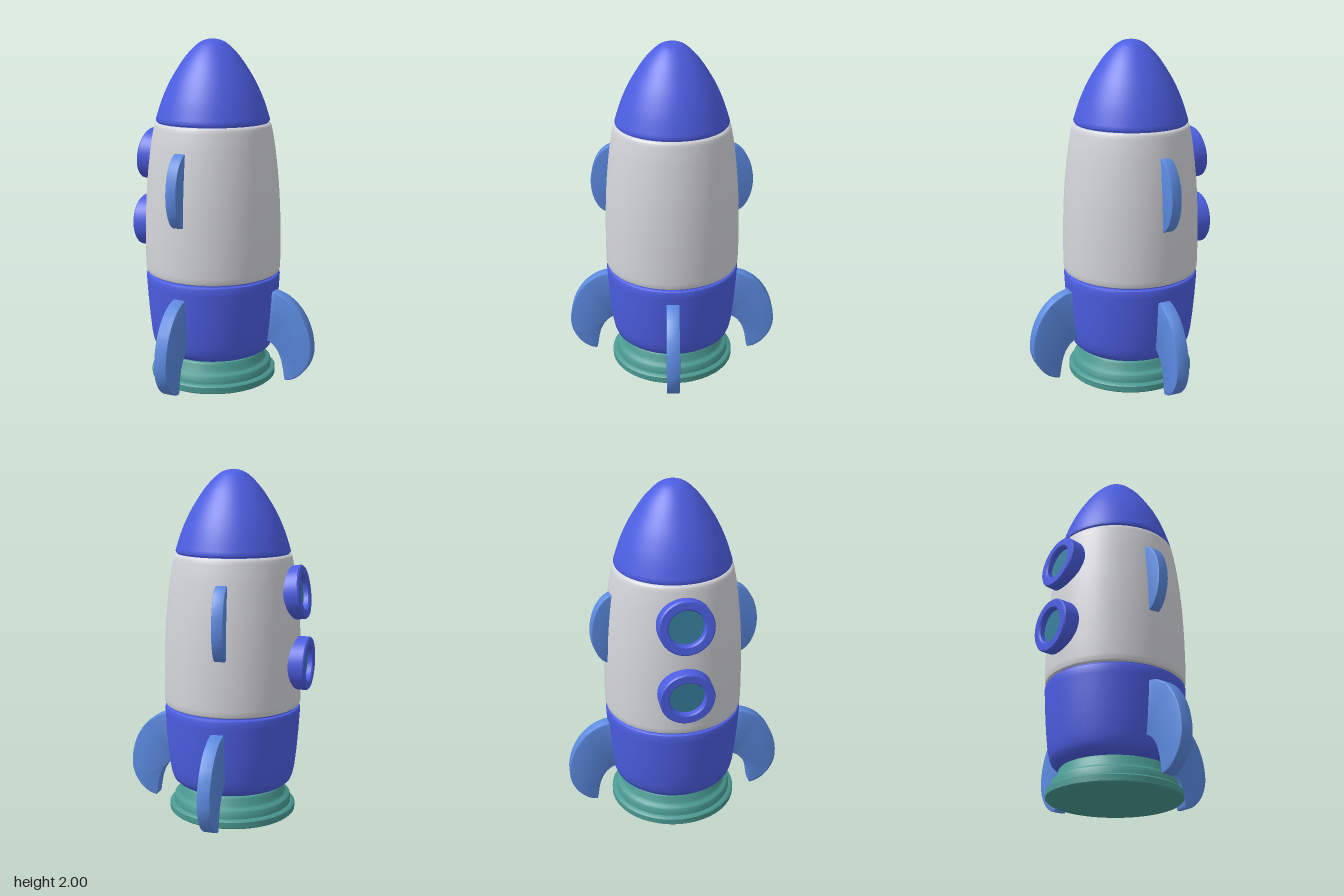
import * as THREE from 'three';
import { toCreasedNormals } from 'three/addons/utils/BufferGeometryUtils.js';

const AXIS_X = -0.09; // the rocket's axis; only one side fin widens it on +x

const material = (name, color) => {
  const m = new THREE.MeshStandardMaterial({ color });
  m.name = name;
  return m;
};

export function createModel() {
  const blue = material('royal blue', 0x4c5ee2);
  const white = material('hull white', 0xd4d5da);
  const finBlue = material('fin blue', 0x5b8ae0);
  const teal = material('nozzle teal', 0x4a9a92);
  const glass = material('window glass', 0x367f9c);

  const model = new THREE.Group();
  model.name = 'rocket';

  const vec = (pts) => pts.map(([x, y]) => new THREE.Vector2(x, y));
  const add = (name, geometry, mat, parent = model) => {
    const mesh = new THREE.Mesh(geometry, mat);
    mesh.name = name;
    parent.add(mesh);
    return mesh;
  };
  const lathe = (pts, segments = 64) =>
    toCreasedNormals(new THREE.LatheGeometry(pts, segments), 0.7);
  const turned = (name, pts, mat) => {
    add(name, lathe(pts), mat).position.x = AXIS_X;
  };

  // Stepped nozzle base
  turned('nozzleBase', vec([
    [0, 0.005], [0.33, 0.01], [0.362, 0.015], [0.37, 0.022], [0.37, 0.055], [0.362, 0.063],
    [0.345, 0.066], [0.342, 0.105], [0.335, 0.113], [0.32, 0.117], [0.308, 0.13],
    [0.305, 0.168], [0.297, 0.178], [0.26, 0.18], [0, 0.18],
  ]), teal);

  // Lower hull, with a narrow neck below and a groove above
  turned('lowerHull', vec([
    [0, 0.17], [0.265, 0.17], [0.268, 0.185], [0.30, 0.188], [0.325, 0.197], [0.345, 0.215],
    [0.357, 0.245], [0.366, 0.29], [0.377, 0.39], [0.386, 0.5], [0.392, 0.6], [0.394, 0.635],
    [0.39, 0.648], [0.38, 0.654], [0.376, 0.655], [0.376, 0.675], [0, 0.675],
  ]), blue);

  // Main hull
  const hullSide = new THREE.SplineCurve(vec([
    [0.395, 0.685], [0.396, 0.8], [0.392, 1.0], [0.38, 1.2], [0.357, 1.4], [0.336, 1.515],
  ])).getPoints(20);
  turned('mainHull', [
    ...vec([[0, 0.662], [0.38, 0.662], [0.39, 0.668]]),
    ...hullSide,
    ...vec([[0.331, 1.525], [0.32, 1.531], [0, 1.531]]),
  ], white);

  // Nose cone with a small rolled lip
  const noseSide = new THREE.SplineCurve(vec([
    [0.327, 1.548], [0.294, 1.65], [0.255, 1.74], [0.216, 1.81],
    [0.155, 1.9], [0.09, 1.967], [0.045, 1.992], [0, 2.0],
  ])).getPoints(28);
  noseSide[noseSide.length - 1].x = 0;
  turned('noseCone', [
    ...vec([[0, 1.52], [0.318, 1.52], [0.318, 1.535], [0.325, 1.54]]),
    ...noseSide,
  ], blue);

  // Fins: outline in (radius, height), extruded across and centred
  const finGeometry = (outline, thickness) => {
    const bevel = 0.006;
    const geometry = new THREE.ExtrudeGeometry(outline, {
      depth: thickness - bevel * 2, bevelThickness: bevel, bevelSize: bevel,
      bevelOffset: -bevel, bevelSegments: 2, curveSegments: 14,
    });
    geometry.translate(0, 0, bevel - thickness / 2);
    return toCreasedNormals(geometry, 0.6);
  };

  const largeOutline = new THREE.Shape();
  largeOutline.moveTo(0.33, 0.57);
  largeOutline.lineTo(0.39, 0.57);
  largeOutline.bezierCurveTo(0.53, 0.55, 0.63, 0.40, 0.63, 0.24);
  largeOutline.bezierCurveTo(0.63, 0.15, 0.56, 0.05, 0.475, 0.043);
  largeOutline.bezierCurveTo(0.455, 0.05, 0.475, 0.22, 0.365, 0.27);
  largeOutline.lineTo(0.33, 0.28);
  const largeFin = finGeometry(largeOutline, 0.075);

  const smallOutline = new THREE.Shape();
  smallOutline.moveTo(0.32, 1.39);
  smallOutline.lineTo(0.36, 1.39);
  smallOutline.bezierCurveTo(0.44, 1.36, 0.475, 1.25, 0.475, 1.165);
  smallOutline.bezierCurveTo(0.475, 1.08, 0.44, 1.0, 0.39, 0.98);
  smallOutline.lineTo(0.32, 0.98);
  const smallFin = finGeometry(smallOutline, 0.065);

  const placeFin = (name, geometry, x, yaw) => {
    const fin = add(name, geometry, finBlue);
    fin.position.x = x;
    fin.rotation.y = yaw;
  };
  placeFin('leftLargeFin', largeFin, AXIS_X, 0);
  placeFin('frontLargeFin', largeFin, -0.121, -Math.PI / 2);
  placeFin('backLargeFin', largeFin, -0.121, Math.PI / 2);
  placeFin('frontSmallFin', smallFin, -0.124, -Math.PI / 2);
  placeFin('backSmallFin', smallFin, -0.09, Math.PI / 2 + 0.12);

  // Portholes: a rounded ring with recessed glass, facing -x
  const ring = lathe(vec([
    [0.095, -0.1], [0.152, -0.1], [0.152, -0.008], [0.145, 0],
    [0.106, 0], [0.098, -0.008], [0.095, -0.1],
  ]), 48);
  const pane = new THREE.CircleGeometry(0.099, 48).rotateX(-Math.PI / 2);
  const porthole = (name, x, y, tilt) => {
    const group = new THREE.Group();
    group.name = name;
    group.position.set(x, y, 0);
    group.rotation.z = Math.PI / 2 - tilt;
    add('ring', ring, blue, group);
    add('glass', pane, glass, group).position.y = -0.035;
    model.add(group);
  };
  porthole('lowerPorthole', -0.545, 0.92, 0);
  porthole('upperPorthole', -0.511, 1.328, 0.135);

  return model;
}
